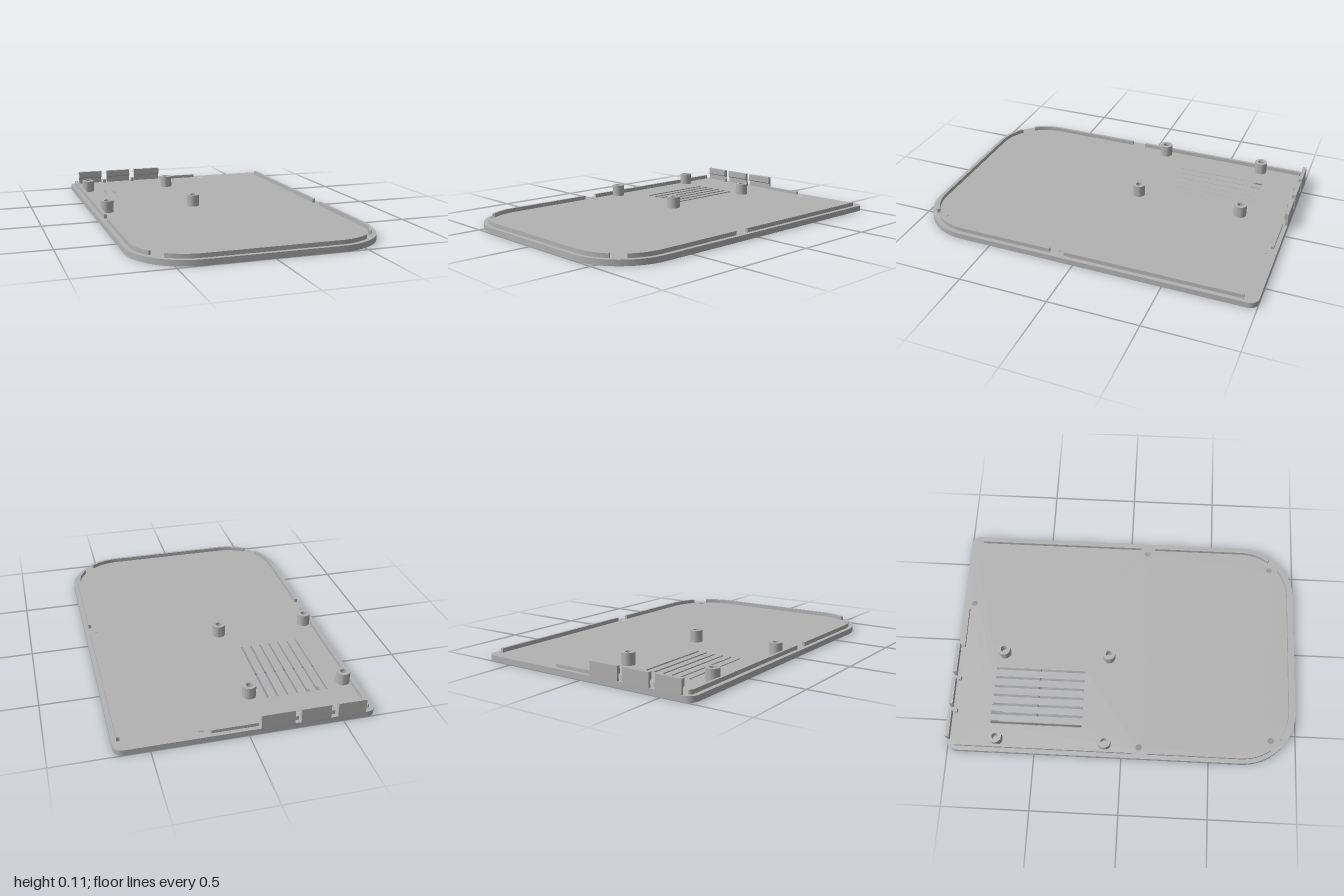
import * as THREE from 'three';
import { toCreasedNormals } from 'three/addons/utils/BufferGeometryUtils.js';

const W = 0.68, R = 0.32, RB = 0.05, RECESS = 0.01, TOP = 0.032, LIP = 0.055;
const SLOT_BACK = -0.765, SLOT_FRONT = -0.235, SLOT_HALF = 0.0105;
const slots = Array.from({ length: 7 }, (_, i) => -0.505 + i * 0.0547);
const screws = [[-0.615, 0.1], [0.615, 0.1], [-0.54, 0.855], [0.54, 0.855], [0.23, -0.94]];
const feet = [[0.45, -0.755], [-0.45, -0.755], [0.405, 0.675], [-0.405, 0.675]];
const FOOT_R = 0.056;

// Arc as [x, z] points, angles in degrees from +x towards +z
function arc(cx, cz, r, a0, a1, n = 16) {
  return Array.from({ length: n + 1 }, (_, i) => {
    const a = THREE.MathUtils.degToRad(a0 + (a1 - a0) * i / n);
    return [cx + r * Math.cos(a), cz + r * Math.sin(a)];
  });
}
const circle = ([x, z], r) => arc(x, z, r, 0, 360, 32).slice(0, -1);
const rect = (x0, x1, z0, z1) => [[x0, z0], [x1, z0], [x1, z1], [x0, z1]];
const slotRect = x => rect(x - SLOT_HALF, x + SLOT_HALF, SLOT_BACK, SLOT_FRONT);

// Extrudes an [x, z] outline with holes from height y0 to y1
function slab(outline, y0, y1, holes = []) {
  const v = pts => pts.map(([x, z]) => new THREE.Vector2(x, -z));
  const shape = new THREE.Shape(v(outline));
  holes.forEach(h => shape.holes.push(new THREE.Path(v(h))));
  const g = new THREE.ExtrudeGeometry(shape, { depth: y1 - y0, bevelEnabled: false });
  g.rotateX(-Math.PI / 2).translate(0, y0, 0);
  return toCreasedNormals(g, 0.5);
}

// One opening that merges a foot recess with the vent slots it cuts through
function mergedOpening([cx, cz], r, cut) {
  const xs = [cx - r, cx + r];
  cut.forEach(x => xs.push(x - SLOT_HALF, x + SLOT_HALF));
  for (let i = 1; i < 24; i++) xs.push(cx - r * Math.cos(Math.PI * i / 24));
  xs.sort((a, b) => a - b);
  const back = [], front = [];
  for (let i = 0; i < xs.length - 1; i++) {
    if (xs[i + 1] - xs[i] < 1e-5) continue;
    const mid = (xs[i] + xs[i + 1]) / 2;
    const inSlot = cut.some(s => Math.abs(mid - s) < SLOT_HALF);
    for (const x of [xs[i], xs[i + 1]]) {
      const h = Math.sqrt(Math.max(0, r * r - (x - cx) ** 2));
      back.push([x, inSlot ? Math.min(SLOT_BACK, cz - h) : cz - h]);
      front.push([x, inSlot ? SLOT_FRONT : cz + h]);
    }
  }
  const loop = [...back, ...front.reverse()];
  return loop.filter((p, i) => {
    const q = loop[(i + 1) % loop.length];
    return Math.hypot(p[0] - q[0], p[1] - q[1]) > 1e-6;
  });
}

export function createModel() {
  const model = new THREE.Group();
  const grey = new THREE.MeshStandardMaterial({ color: 0xb2b2b2 });
  grey.name = 'grey plastic';
  const add = (name, geometry) => {
    const mesh = new THREE.Mesh(geometry, grey);
    mesh.name = name;
    model.add(mesh);
    return mesh;
  };

  // Base plate: a thin underside layer with foot recesses, then the floor
  const outline = [
    ...arc(W - R, 1 - R, R, 0, 90, 24), ...arc(R - W, 1 - R, R, 90, 180, 24),
    ...arc(RB - W, RB - 1, RB, 180, 270, 8), ...arc(W - RB, RB - 1, RB, 270, 360, 8),
  ];
  add('underside', slab(outline, 0, RECESS, [
    ...screws.map(p => circle(p, 0.024)),
    ...feet.filter((_, i) => i !== 1).map(p => circle(p, FOOT_R)),
    mergedOpening(feet[1], FOOT_R, slots.slice(0, 3)),
    ...slots.slice(3).map(slotRect),
  ]));
  add('floor', slab(outline, RECESS, TOP, [
    ...screws.map(p => circle(p, 0.0185)), ...slots.map(slotRect),
  ]));

  // Locating lip, broken at the screw holes
  const OUT = 0.025, IN = 0.041;
  const band = path => [...path(OUT), ...path(IN).reverse()];
  for (const s of [1, -1]) {
    const mirror = pts => pts.map(([x, z]) => [s * x, z]);
    add('frontSideLip', slab(mirror(band(d =>
      [[W - d, 0.145], ...arc(W - R, 1 - R, R - d, 0, 36)])), TOP, LIP));
    add('backSideLip', slab(mirror(band(d => s > 0
      ? [[W - d, 0.06], [W - d, -0.925]]
      : [[W - d, 0.06], ...arc(W - RB, RB - 1, RB - d, 0, -65, 6)])), TOP, LIP));
  }
  add('frontLip', slab(band(d => [
    ...arc(W - R, 1 - R, R - d, 53, 90), ...arc(R - W, 1 - R, R - d, 90, 127),
  ]), TOP, LIP));
  add('backLip', slab(rect(-0.055, 0.19, -0.976, -0.961), TOP, 0.05));

  // Hooked tabs on the back edge, with small posts in the gaps
  for (const [x0, x1] of [[-0.62, -0.468], [-0.43, -0.272], [-0.238, -0.062]]) {
    const profile = new THREE.Shape([
      [1, TOP], [1, 0.11], [0.978, 0.11], [0.978, 0.072], [0.987, 0.066], [0.987, TOP],
    ].map(p => new THREE.Vector2(...p)));
    const g = new THREE.ExtrudeGeometry(profile, { depth: x1 - x0, bevelEnabled: false });
    g.rotateY(Math.PI / 2).translate(x0, 0, 0);
    add('backTab', g);
  }
  for (const x of [-0.451, -0.256])
    add('tabPost', slab(rect(x - 0.01, x + 0.01, -0.976, -0.96), TOP, LIP));

  // Hollow mounting posts with blind holes
  const post = toCreasedNormals(new THREE.LatheGeometry(
    [[0.037, TOP], [0.037, 0.1], [0.018, 0.1], [0.018, 0.04], [0, 0.04]]
      .map(p => new THREE.Vector2(...p)), 32), 0.5);
  for (const x of [-0.605, -0.08])
    for (const z of [-0.72, -0.1]) add('mountingPost', post).position.set(x, 0, z);

  return model;
}
